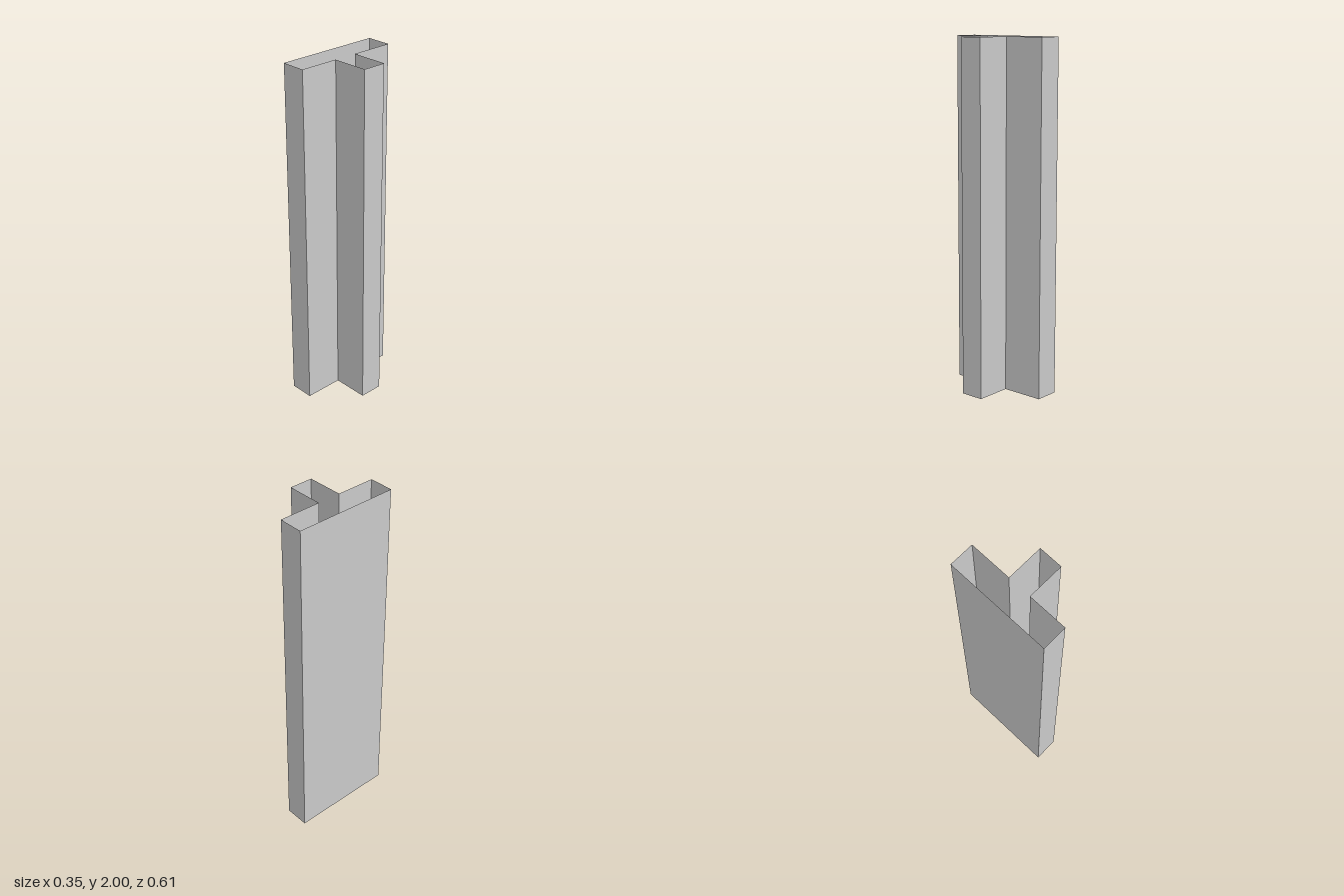
import * as THREE from 'three';

const HEIGHT = 2;

// T-shaped cross-section as [x, z], counter-clockwise seen from above
const PROFILE = [
  [-0.177, 0.304], [-0.035, 0.304], // front end of the flange
  [-0.035, 0.078], [0.177, 0.078],  // front side of the stem
  [0.177, -0.059], [-0.035, -0.059], // back side of the stem
  [-0.035, -0.304], [-0.177, -0.304], // back end of the flange
];

// Flat walls standing on a closed outline, open at top and bottom
function wallsFromOutline(outline, height) {
  const positions = [];
  outline.forEach(([ax, az], i) => {
    const [bx, bz] = outline[(i + 1) % outline.length];
    positions.push(
      ax, 0, az, bx, 0, bz, bx, height, bz,
      ax, 0, az, bx, height, bz, ax, height, az,
    );
  });
  const geometry = new THREE.BufferGeometry();
  geometry.setAttribute('position', new THREE.Float32BufferAttribute(positions, 3));
  geometry.computeVertexNormals();
  return geometry;
}

export function createModel() {
  const group = new THREE.Group();
  group.name = 'hollowTColumn';

  const material = new THREE.MeshStandardMaterial({
    color: 0xcccccc, flatShading: true, side: THREE.DoubleSide,
  });
  const walls = new THREE.Mesh(wallsFromOutline(PROFILE, HEIGHT), material);
  walls.name = 'columnWalls';
  group.add(walls);

  return group;
}
